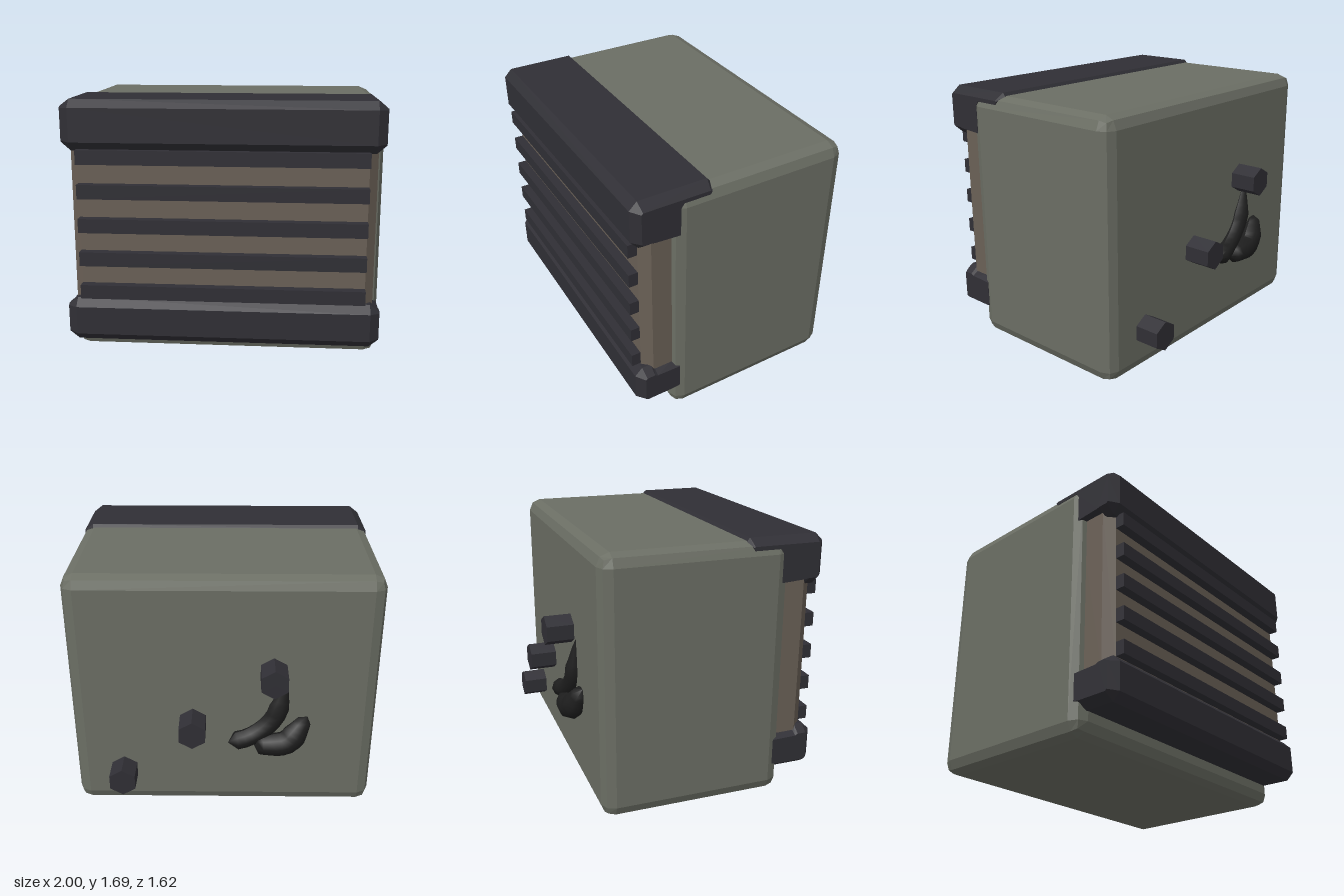
import * as THREE from 'three';
import { RoundedBoxGeometry } from 'three/addons/geometries/RoundedBoxGeometry.js';

const paint = (color, flatShading = true) => new THREE.MeshStandardMaterial({ color, flatShading });
const V = (x, y, z) => new THREE.Vector3(x, y, z);

// Bar along x: full profile between the chamfers, smaller profile at both ends. Profiles are [z, y].
function barGeometry(full, end) {
  const sections = [[-0.99, end], [-0.93, full], [0.93, full], [0.99, end]];
  const n = full.length, pos = [], idx = [];
  for (const [x, profile] of sections) for (const [z, y] of profile) pos.push(x, y, z);
  for (let s = 0; s < 3; s++) {
    for (let i = 0; i < n; i++) {
      const a = s * n + i, b = s * n + (i + 1) % n;
      idx.push(a, a + n, b, b, a + n, b + n);
    }
  }
  const caps = THREE.ShapeUtils.triangulateShape(end.map(([z, y]) => new THREE.Vector2(z, y)), []);
  for (const [a, b, c] of caps) {
    idx.push(a, b, c, 3 * n + a, 3 * n + c, 3 * n + b);
  }
  const g = new THREE.BufferGeometry();
  g.setAttribute('position', new THREE.Float32BufferAttribute(pos, 3));
  g.setIndex(idx);
  // Make the side walls and caps face outwards whatever the profile direction
  const out = g.toNonIndexed();
  out.computeVertexNormals();
  return out;
}

// Curved tube whose radius follows a list of values; both ends are closed.
function taperedTube(points, radii) {
  const steps = 12, sides = 8;
  const curve = new THREE.CatmullRomCurve3(points);
  const g = new THREE.TubeGeometry(curve, steps, 1, sides, false);
  const p = g.attributes.position, v = V(0, 0, 0);
  for (let s = 0; s <= steps; s++) {
    const c = curve.getPointAt(s / steps);
    const t = (s / steps) * (radii.length - 1), i = Math.min(Math.floor(t), radii.length - 2);
    const r = s === 0 || s === steps ? 0.001 : THREE.MathUtils.lerp(radii[i], radii[i + 1], t - i);
    for (let k = 0; k <= sides; k++) {
      const j = s * (sides + 1) + k;
      v.fromBufferAttribute(p, j).sub(c).multiplyScalar(r).add(c);
      // The end rings close onto the neighbouring ring's plane
      p.setXYZ(j, v.x, v.y, v.z);
    }
  }
  g.computeVertexNormals();
  return g;
}

export function createModel() {
  const model = new THREE.Group();
  const green = paint(0x6b6e64), dark = paint(0x302f35), brown = paint(0x6a6056);
  const black = paint(0x1e1e1e, false);
  const add = (name, geometry, material, x = 0, y = 0, z = 0) => {
    const mesh = new THREE.Mesh(geometry, material);
    mesh.name = name;
    mesh.position.set(x, y, z);
    model.add(mesh);
    return mesh;
  };

  // Housing with two-step bevelled edges
  add('housing', new RoundedBoxGeometry(2, 1.67, 1.19, 1, 0.08), green, 0, 0.835, -0.025);

  // Front panel with chamfered upright edges
  const plan = new THREE.Shape([[-0.95, -0.5], [0.95, -0.5], [0.95, -0.69], [0.895, -0.75],
    [-0.895, -0.75], [-0.95, -0.69]].map(([x, y]) => new THREE.Vector2(x, y)));
  const panel = new THREE.ExtrudeGeometry(plan, { depth: 1.1, bevelEnabled: false });
  panel.rotateX(-Math.PI / 2);
  add('frontPanel', panel, brown, 0, 0.35, 0);

  // Grille slats
  for (let i = 0; i < 5; i++) {
    add('slat', new THREE.BoxGeometry(1.79, 0.09, 0.1), dark, 0, 0.475 + i * 0.216, 0.76);
  }

  // Upper bar with a lip over the top of the housing
  add('upperBar', barGeometry(
    [[0.81, 1.64], [0.76, 1.69], [0.32, 1.69], [0.3, 1.665], [0.32, 1.62], [0.5, 1.62],
      [0.52, 1.59], [0.52, 1.4], [0.68, 1.4], [0.7, 1.375], [0.76, 1.375], [0.81, 1.43]],
    [[0.765, 1.635], [0.755, 1.645], [0.33, 1.645], [0.32, 1.64], [0.33, 1.62], [0.5, 1.62],
      [0.52, 1.59], [0.52, 1.41], [0.68, 1.42], [0.7, 1.425], [0.755, 1.425], [0.765, 1.435]]), dark);

  // Lower bar
  add('lowerBar', barGeometry(
    [[0.81, 0.37], [0.76, 0.42], [0.7, 0.42], [0.68, 0.4], [0.52, 0.4], [0.52, 0.18],
      [0.56, 0.14], [0.76, 0.14], [0.81, 0.19]],
    [[0.765, 0.365], [0.755, 0.375], [0.7, 0.375], [0.68, 0.365], [0.52, 0.36], [0.52, 0.19],
      [0.56, 0.185], [0.755, 0.185], [0.765, 0.195]]), dark);

  // Hexagonal knobs on the back
  for (const [x, y, z] of [[-0.32, 1.04, -0.715], [0.2, 0.67, -0.725], [0.67, 0.275, -0.695]]) {
    const knob = new THREE.CylinderGeometry(0.097, 0.097, 0.175, 6);
    knob.rotateX(Math.PI / 2);
    add('knob', knob, dark, x, y, z);
  }

  // Twisted cable stubs on the back
  add('cableHorn', taperedTube([V(-0.03, 0.53, -0.675), V(-0.18, 0.56, -0.64), V(-0.33, 0.69, -0.62),
    V(-0.41, 0.99, -0.62)], [0.06, 0.065, 0.07, 0.005]), black);
  add('cableLoop', taperedTube([V(-0.2, 0.5, -0.65), V(-0.3, 0.51, -0.665), V(-0.42, 0.53, -0.66),
    V(-0.55, 0.7, -0.62)], [0.06, 0.08, 0.085, 0.04]), black);

  return model;
}
